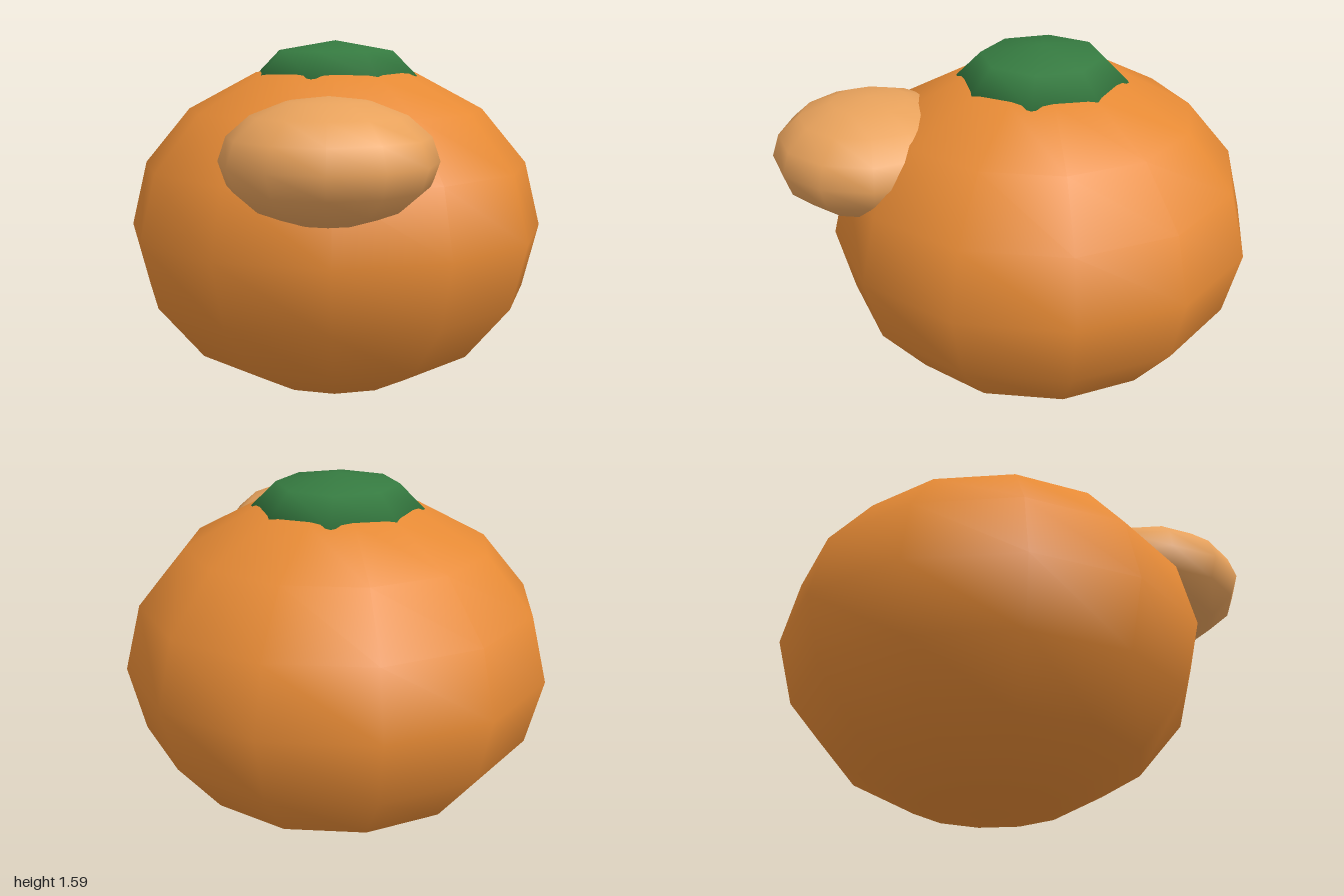
import * as THREE from 'three';

// Smooth low-poly ellipsoid: radii [x, y, z], centre [x, y, z]
function ellipsoid(name, color, radii, centre, sides, rings) {
  const geometry = new THREE.SphereGeometry(1, sides, rings);
  geometry.scale(...radii);
  const mesh = new THREE.Mesh(geometry, new THREE.MeshStandardMaterial({ color }));
  mesh.name = name;
  mesh.position.set(...centre);
  return mesh;
}

export function createModel() {
  const group = new THREE.Group();
  group.name = 'roundFruit';
  const axisZ = -0.065;

  // Squashed round body
  group.add(ellipsoid('body', 0xe68a35, [0.935, 0.75, 0.935], [0, 0.75, axisZ], 12, 8));

  // Leafy cap sunk into the top
  group.add(ellipsoid('leafCap', 0x357a40, [0.374, 0.153, 0.374], [0, 1.432, axisZ], 8, 4));

  // Pale lobe on the front right shoulder
  group.add(ellipsoid('paleLobe', 0xe8a25c, [0.43, 0.25, 0.43], [-0.38, 1.135, 0.567], 12, 8));

  return group;
}
